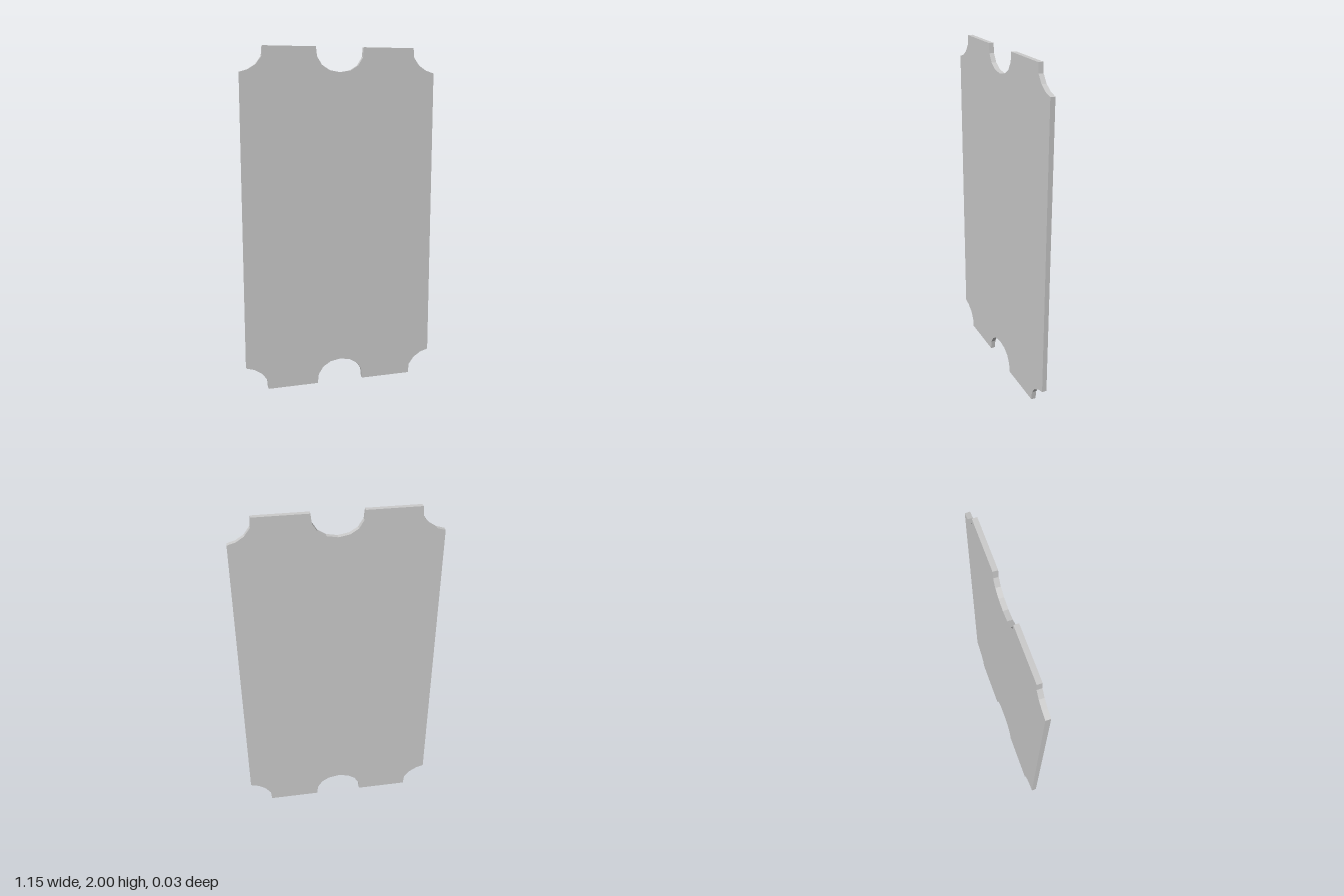
import * as THREE from 'three';

export function createModel() {
  const group = new THREE.Group();
  const thickness = 0.028;

  // Upper right quarter of the outline: half of the middle notch, then the corner notch
  const quarter = [
    [0, 0.859], [0.062, 0.87], [0.108, 0.899], [0.137, 0.945], [0.143, 1],
    [0.447, 1], [0.452, 0.945], [0.485, 0.9], [0.53, 0.871], [0.577, 0.857],
  ];
  const place = (sx, sy) => quarter.map(([x, y]) => new THREE.Vector2(sx * x, 1 + sy * y));

  // Mirror the quarter into a closed outline
  const outline = [
    ...place(1, 1),
    ...place(1, -1).reverse(),
    ...place(-1, -1).slice(1),
    ...place(-1, 1).reverse().slice(0, -1),
  ];

  const geometry = new THREE.ExtrudeGeometry(new THREE.Shape(outline), {
    depth: thickness,
    bevelEnabled: false,
  });
  geometry.translate(0, 0, -thickness / 2);

  // Thin upright panel with notched ends
  const panel = new THREE.Mesh(
    geometry,
    new THREE.MeshStandardMaterial({ color: 0xcccccc, flatShading: true })
  );
  panel.name = 'notchedPanel';
  group.add(panel);
  return group;
}
